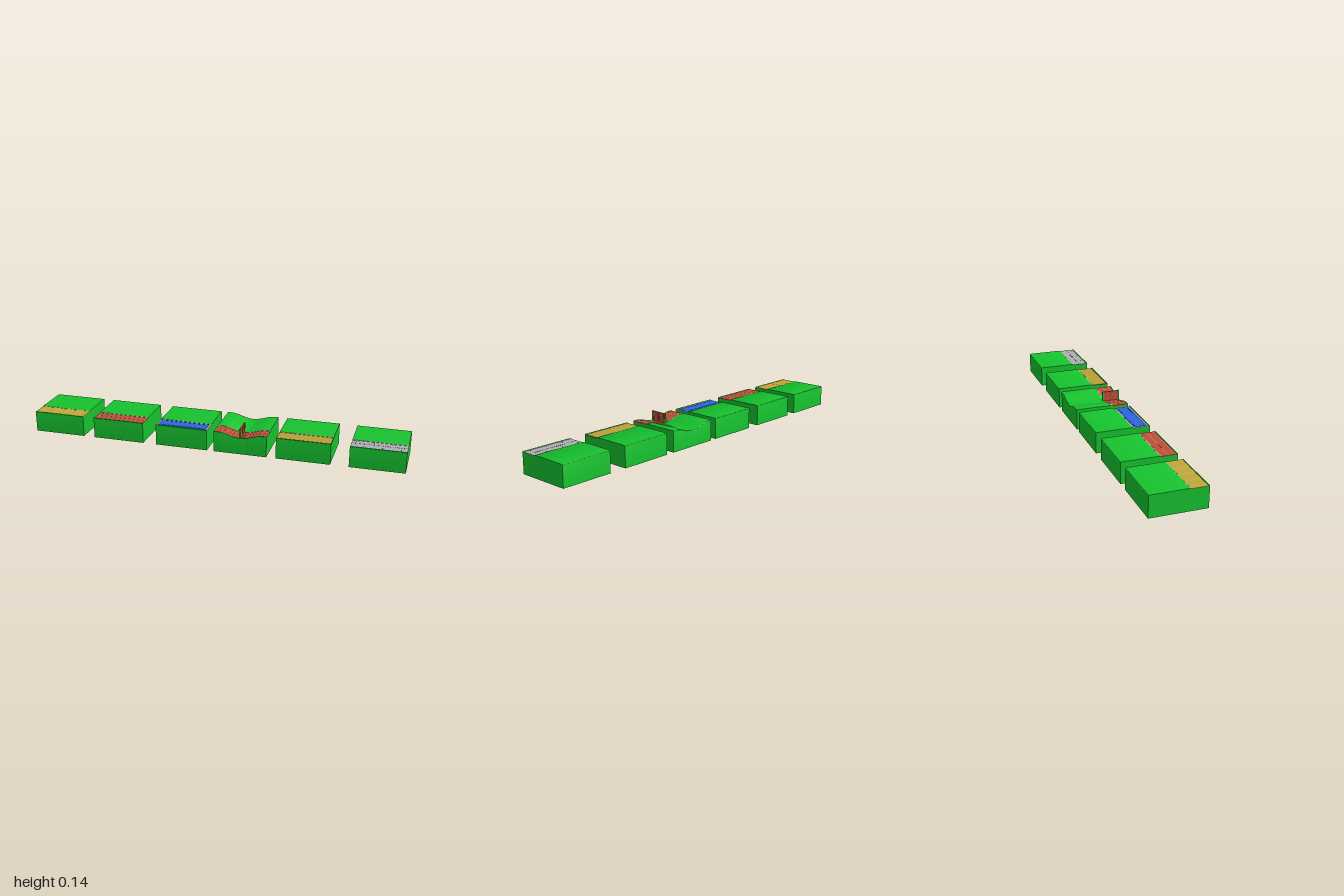
import * as THREE from 'three';
import { toCreasedNormals } from 'three/addons/utils/BufferGeometryUtils.js';

const GREEN = 0x16c22e, RED = 0xbf4f36, SAND = 0xb89f38, GREY = 0xb0b0b4, BLUE = 0x2a66e0;
const W = 0.281, D = 0.144, TOP = 0.113, FLOOR = 0.11;
const Z0 = 0.054, Z1 = 0.138; // channel limits

const material = (color) => new THREE.MeshStandardMaterial({ color, side: THREE.DoubleSide });
const flat = () => 0;
// Shallow valley across the middle of a tile
const valley = (x) => (Math.abs(x) < 0.125 ? -0.0125 * (1 + Math.cos((x / 0.125) * Math.PI)) : 0);
// Small ripples
const ripple = (x) => 0.0012 * Math.sin(x * 95) + 0.0005 * Math.sin(x * 210);

// Extrudes a z-y outline along x, then lifts its upper vertices by rule(x)
function sweep(name, outline, width, color, rule = flat) {
  const steps = rule === flat ? 1 : 40;
  const geo = new THREE.ExtrudeGeometry(outline, { depth: width, steps, bevelEnabled: false, curveSegments: 5 });
  geo.translate(0, 0, -width / 2).rotateY(Math.PI / 2);
  const p = geo.attributes.position;
  for (let i = 0; i < p.count; i++) {
    if (p.getY(i) > 0.05) p.setY(i, p.getY(i) + rule(p.getX(i)));
  }
  const mesh = new THREE.Mesh(toCreasedNormals(geo, 0.6), material(color));
  mesh.name = name;
  return mesh;
}

// Grass block with rounded upper edges and a shallow channel near the front
function blockOutline() {
  const s = new THREE.Shape(), r = 0.005;
  s.moveTo(-D, 0);
  s.lineTo(D, 0);
  s.lineTo(D, TOP - r);
  s.quadraticCurveTo(D, TOP, D - r, TOP);
  s.lineTo(-Z0 + 0.004, TOP);
  s.quadraticCurveTo(-Z0, FLOOR - 0.001, -Z0 - 0.005, FLOOR - 0.001);
  s.lineTo(-Z1 + 0.005, FLOOR - 0.001);
  s.quadraticCurveTo(-Z1, FLOOR - 0.001, -Z1 - 0.002, TOP);
  s.quadraticCurveTo(-D, TOP, -D, TOP - r);
  s.closePath();
  return s;
}

function strip(name, za, zb, top, width, color, rule) {
  const s = new THREE.Shape();
  s.moveTo(-zb, FLOOR - 0.004);
  s.lineTo(-za, FLOOR - 0.004);
  s.lineTo(-za, top);
  s.lineTo(-zb, top);
  s.closePath();
  return sweep(name, s, width, color, rule);
}

function box(name, w, h, d, x, y, z, color) {
  const m = new THREE.Mesh(new THREE.BoxGeometry(w, h, d), material(color));
  m.position.set(x, y, z);
  m.name = name;
  return m;
}

// Clay track with thin pale lines
function clayTrack(tile, rule) {
  tile.add(strip('clayTrack', Z0, Z1, FLOOR, W, RED, rule));
  for (const z of [0.06, 0.096, 0.131]) {
    tile.add(strip('trackLine', z - 0.001, z + 0.001, FLOOR + 0.0005, W, 0xd0a090, rule));
  }
}

// Upright gate: rounded green posts holding two slatted red leaves
function gate() {
  const g = new THREE.Group();
  g.name = 'gate';
  for (const z of [0.0515, 0.1405]) {
    const post = box('gatePost', 0.008, 0.053, 0.008, 0, 0.1095, z, GREEN);
    const cap = new THREE.Mesh(new THREE.CylinderGeometry(0.004, 0.004, 0.008, 16), material(GREEN));
    cap.rotation.z = Math.PI / 2;
    cap.position.set(0, 0.136, z);
    cap.name = 'gatePostCap';
    g.add(post, cap);
  }
  for (const z of [0.0755, 0.1165]) {
    g.add(box('gateLeaf', 0.007, 0.054, 0.04, 0, 0.111, z, RED));
    for (const e of [-0.017, 0.017]) {
      g.add(box('gateSlat', 0.009, 0.05, 0.002, 0, 0.111, z + e, 0x8c3322));
    }
  }
  return g;
}

const surfaces = {
  rippledSand(tile) {
    tile.add(strip('rippledSand', Z0, Z1, FLOOR + 0.001, W, 0xc0a83c, ripple));
  },
  clay(tile) {
    clayTrack(tile, flat);
  },
  water(tile) {
    tile.add(strip('stoneRim', Z0, Z1, FLOOR, W, GREY));
    tile.add(strip('poolEdge', 0.06, 0.13, FLOOR + 0.0004, 0.262, 0x1b2f66));
    tile.add(strip('water', 0.063, 0.127, FLOOR + 0.0008, 0.256, BLUE));
    for (const z of [0.069, 0.121]) {
      tile.add(strip('waterLine', z - 0.001, z + 0.001, FLOOR + 0.0012, 0.24, 0x1b3f99));
    }
  },
  valley(tile) {
    clayTrack(tile, valley);
    tile.add(gate());
  },
  sand(tile) {
    tile.add(strip('sandEdge', Z0, Z1, FLOOR, W, 0x4a4f22));
    tile.add(strip('sand', 0.058, 0.133, FLOOR + 0.0006, W - 0.006, SAND));
  },
  paving(tile) {
    tile.add(strip('paving', Z0, Z1, FLOOR, W, GREY));
    tile.add(strip('kerb', 0.133, 0.136, FLOOR + 0.0006, W, 0x6fa0b0));
    // Row of dark studs along the middle, sparse ones beside it
    const stud = new THREE.CylinderGeometry(0.002, 0.002, 0.002, 8);
    const dark = material(0x333338);
    for (let i = 0; i < 24; i++) {
      const m = new THREE.Mesh(stud, dark);
      m.position.set(-0.132 + i * 0.0115, FLOOR + 0.0005, 0.092);
      m.name = 'stud';
      tile.add(m);
      if (i % 4 === 1) {
        const side = m.clone();
        side.position.z = i % 8 === 1 ? 0.064 : 0.124;
        tile.add(side);
      }
    }
  },
};

export function createModel() {
  const model = new THREE.Group();
  model.name = 'trackTiles';
  const layout = [
    ['rippledSand', -0.8595], ['clay', -0.517], ['water', -0.163],
    ['valley', 0.155], ['sand', 0.485], ['paving', 0.8595],
  ];
  for (const [kind, x] of layout) {
    const tile = new THREE.Group();
    tile.name = kind + 'Tile';
    tile.position.x = x;
    tile.add(sweep('grassBlock', blockOutline(), W, GREEN, kind === 'valley' ? valley : flat));
    // Pale seam between grass and strip
    tile.add(strip('seam', Z0 - 0.002, Z0 + 0.002, FLOOR + 0.0015, W, 0x9fb89a, kind === 'valley' ? valley : flat));
    surfaces[kind](tile);
    model.add(tile);
  }
  return model;
}
